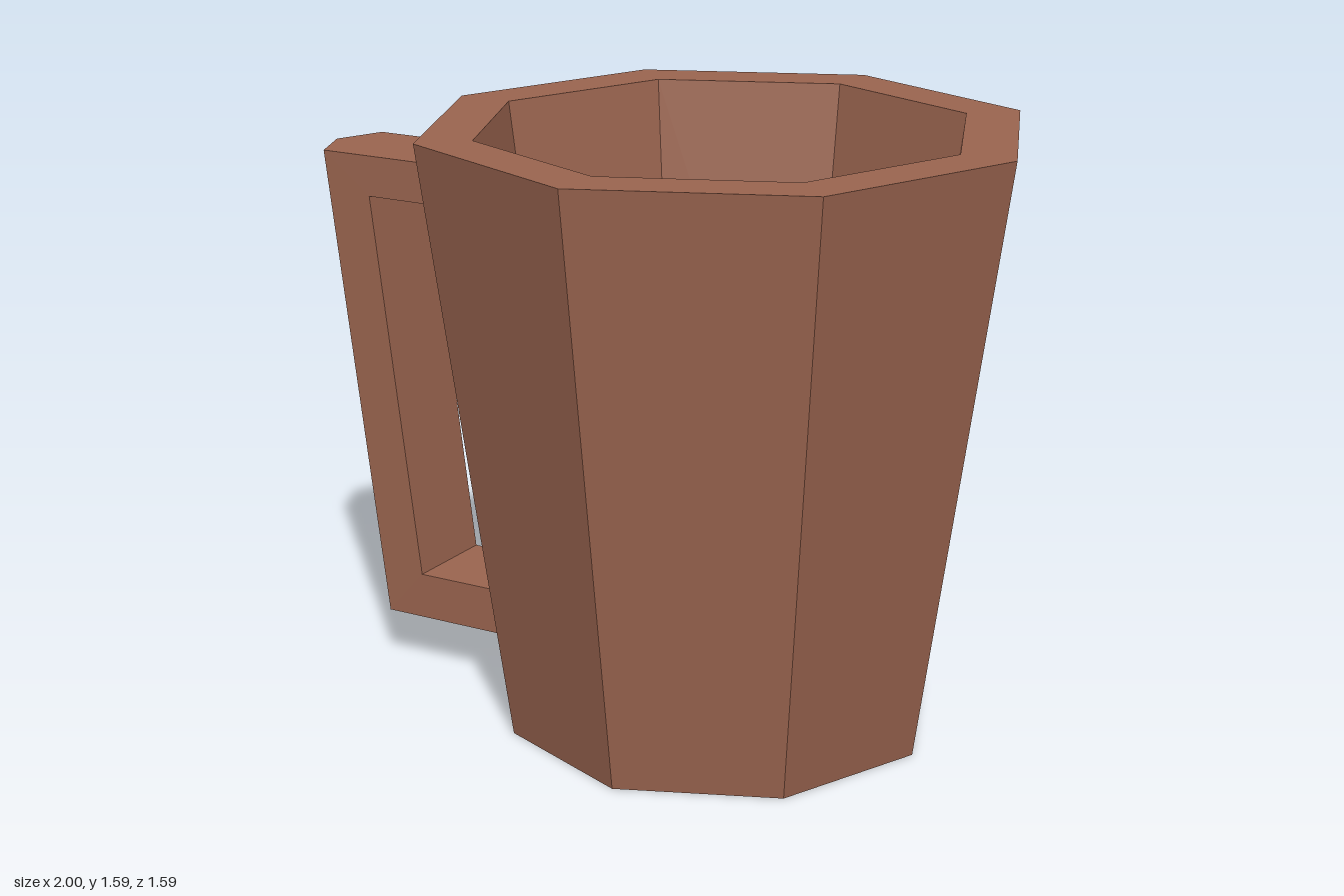
import * as THREE from 'three';

export function createModel() {
  const mug = new THREE.Group();
  mug.name = 'mug';
  const material = new THREE.MeshStandardMaterial({ color: 0x9a644f, flatShading: true });

  // Eight-sided cup: underside, outer wall, rim, inner wall and floor
  const profile = [
    [0, 0], [0.565, 0], [0.793, 1.59], [0.645, 1.59], [0.47, 0.35], [0, 0.35],
  ].map(([r, y]) => new THREE.Vector2(r, y));
  const cup = new THREE.Mesh(new THREE.LatheGeometry(profile, 8), material);
  cup.name = 'cup';
  cup.position.x = 0.205;
  mug.add(cup);

  // C-shaped handle whose ends sink into the cup wall
  const top = 1.43, bottom = 0.145, halfWidth = 0.135;
  const outline = new THREE.Shape([
    [-0.945, top], [-0.77, bottom], [-0.3, bottom], [-0.3, 0.27],
    [-0.66, 0.27], [-0.8, 1.32], [-0.46, 1.32], [-0.46, top],
  ].map(([x, y]) => new THREE.Vector2(x, y)));
  const geometry = new THREE.ExtrudeGeometry(outline, {
    depth: halfWidth * 2, steps: 2, bevelEnabled: false,
  });
  geometry.translate(0, 0, -halfWidth);

  // Pull the middle of the grip's outer side out into a ridge
  const p = geometry.attributes.position;
  for (let i = 0; i < p.count; i++) {
    const onEnd = Math.abs(p.getY(i) - top) < 0.01 || Math.abs(p.getY(i) - bottom) < 0.01;
    if (onEnd && p.getX(i) < -0.7 && Math.abs(p.getZ(i)) < 0.01) {
      p.setX(i, p.getX(i) - (p.getY(i) > 1 ? 0.055 : 0.045));
    }
  }
  geometry.computeVertexNormals();
  const handle = new THREE.Mesh(geometry, material);
  handle.name = 'handle';
  mug.add(handle);

  return mug;
}
